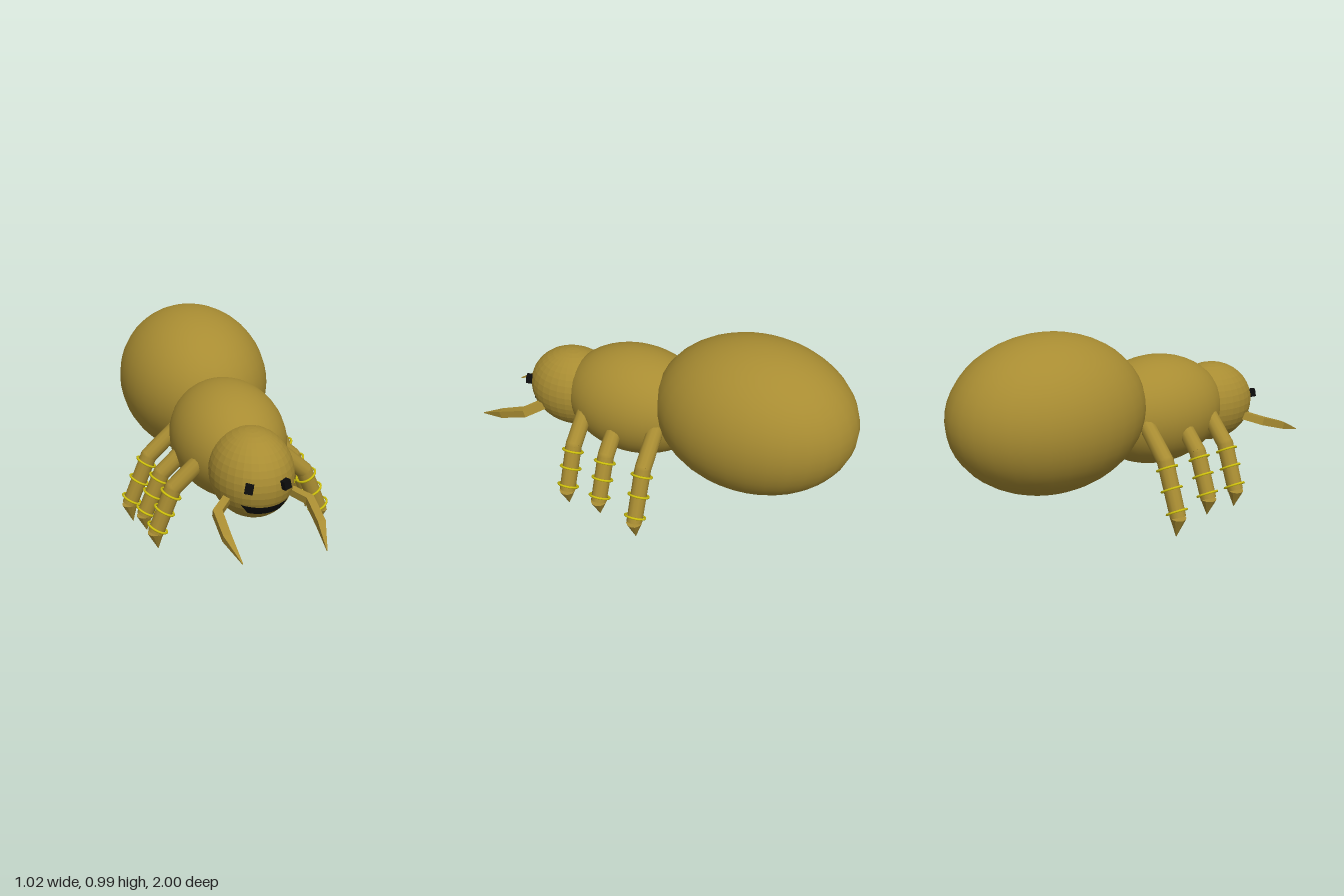
import * as THREE from 'three';

const V = (x, y, z) => new THREE.Vector3(x, y, z);
const skin = new THREE.MeshStandardMaterial({ color: 0xa88c32 });
const skinFlat = new THREE.MeshStandardMaterial({ color: 0xa88c32, flatShading: true });
const black = new THREE.MeshStandardMaterial({ color: 0x0c0c0c, side: THREE.DoubleSide });
const yellow = new THREE.MeshStandardMaterial({ color: 0xd2c40c });
const UP = V(0, 1, 0);

function add(parent, name, geometry, material) {
  const mesh = new THREE.Mesh(geometry, material);
  mesh.name = name;
  parent.add(mesh);
  return mesh;
}

function ellipsoid(parent, name, center, radii, material, w = 32, h = 24) {
  const mesh = add(parent, name, new THREE.SphereGeometry(1, w, h), material);
  mesh.position.copy(center);
  mesh.scale.copy(radii);
  return mesh;
}

// Tapered cylinder from a to b
function rod(parent, name, a, b, ra, rb, material = skin) {
  const dir = b.clone().sub(a);
  const mesh = add(parent, name, new THREE.CylinderGeometry(rb, ra, dir.length(), 12), material);
  mesh.position.copy(a).lerp(b, 0.5);
  mesh.quaternion.setFromUnitVectors(UP, dir.normalize());
  return mesh;
}

// Bent leg with rings and a pointed foot; s is the side
function leg(s, name, z, knee, ankle, tip) {
  const g = new THREE.Group();
  g.name = name;
  const k = V(s * knee[0], knee[1], z), a = V(s * ankle[0], ankle[1], z);
  const hip = k.clone().add(V(-s * 0.2, 0.185, 0));
  rod(g, 'upperLeg', hip, k, 0.042, 0.042);
  ellipsoid(g, 'knee', k, V(0.042, 0.042, 0.042), skin, 12, 8);
  rod(g, 'lowerLeg', k, a, 0.042, 0.04);
  rod(g, 'foot', a, V(s * tip[0], tip[1], z), 0.041, 0.0005, skinFlat);
  const ringAxis = V(s * 0.5, -0.87, 0).normalize();
  for (const t of [0.13, 0.5, 0.9]) {
    const ring = add(g, 'legRing', new THREE.TorusGeometry(0.051, 0.006, 6, 20), yellow);
    ring.position.copy(k).lerp(a, t);
    ring.quaternion.setFromUnitVectors(V(0, 0, 1), ringAxis);
  }
  return g;
}

// Square-section jaw swept through a few points
function mandible(s) {
  const path = [[0.13, 0.44, 0.62, 0.019], [0.222, 0.405, 0.715, 0.02], [0.222, 0.355, 0.86, 0.019], [0.195, 0.3, 1.0, 0.002]];
  const pos = [], idx = [];
  path.forEach(([x, y, z, r], i) => {
    const side = i === 0 ? V(0.75, 0, -0.66) : i === 1 ? V(1, 0, -0.4) : V(1, 0, 0);
    const up = i === 3 ? V(0, 1, 0) : V(0, 0.95, 0.3);
    for (const [u, v] of [[-1, -1], [1, -1], [1, 1], [-1, 1]]) {
      const p = V(x, y, z).addScaledVector(side, u * r).addScaledVector(up, v * r);
      pos.push(s * p.x, p.y, p.z);
    }
  });
  const quad = (a, b, c, d) => s > 0 ? idx.push(a, b, c, a, c, d) : idx.push(a, c, b, a, d, c);
  for (let i = 0; i < path.length - 1; i++)
    for (let j = 0; j < 4; j++) {
      const n = (j + 1) % 4;
      quad(i * 4 + j, i * 4 + n, i * 4 + 4 + n, i * 4 + 4 + j);
    }
  quad(3, 2, 1, 0);
  quad(12, 13, 14, 15);
  const geo = new THREE.BufferGeometry();
  geo.setAttribute('position', new THREE.Float32BufferAttribute(pos, 3));
  geo.setIndex(idx);
  geo.computeVertexNormals();
  return geo;
}

export function createModel() {
  const model = new THREE.Group();
  model.name = 'ant';

  // Body; rotating the poles to z keeps the round outline smooth
  ellipsoid(model, 'abdomen', V(0, 0.603, -0.485), V(0.393, 0.393, 0.515), skin);
  ellipsoid(model, 'thorax', V(0, 0.517, 0.16), V(0.283, 0.283, 0.385), skin);
  const hc = V(0, 0.498, 0.53), hr = V(0.198, 0.212, 0.24);
  ellipsoid(model, 'head', hc, hr, skinFlat, 32, 20);

  // Mouth: a strip laid on the head's surface
  const mouth = new THREE.PlaneGeometry(2, 1, 12, 3);
  const p = mouth.attributes.position;
  for (let i = 0; i < p.count; i++) {
    const t = 0.5 - p.getY(i);
    const x = p.getX(i) * (0.112 - 0.036 * t);
    const y = 0.42 - 0.045 * t + 0.7 * x * x;
    const q = 1 - (x / hr.x) ** 2 - ((y - hc.y) / hr.y) ** 2;
    p.setXYZ(i, x, y, hc.z + hr.z * Math.sqrt(q) + 0.004);
  }
  mouth.computeVertexNormals();
  add(model, 'mouth', mouth, black);

  for (const s of [1, -1]) {
    const side = s > 0 ? 'left' : 'right';
    const eye = add(model, side + 'Eye', new THREE.BoxGeometry(0.038, 0.042, 0.035), black);
    eye.position.set(s * 0.086, 0.524, 0.755);
    eye.rotation.set(-0.12, s * 0.35, s * 0.2);
    add(model, side + 'Mandible', mandible(s), skinFlat);
    model.add(leg(s, side + 'FrontLeg', 0.36, [0.335, 0.375], [0.425, 0.15], [0.415, 0.057]));
    model.add(leg(s, side + 'MiddleLeg', 0.172, [0.345, 0.37], [0.437, 0.15], [0.428, 0.06]));
    model.add(leg(s, side + 'RearLeg', -0.042, [0.36, 0.37], [0.467, 0.11], [0.453, 0.003]));
  }
  return model;
}
